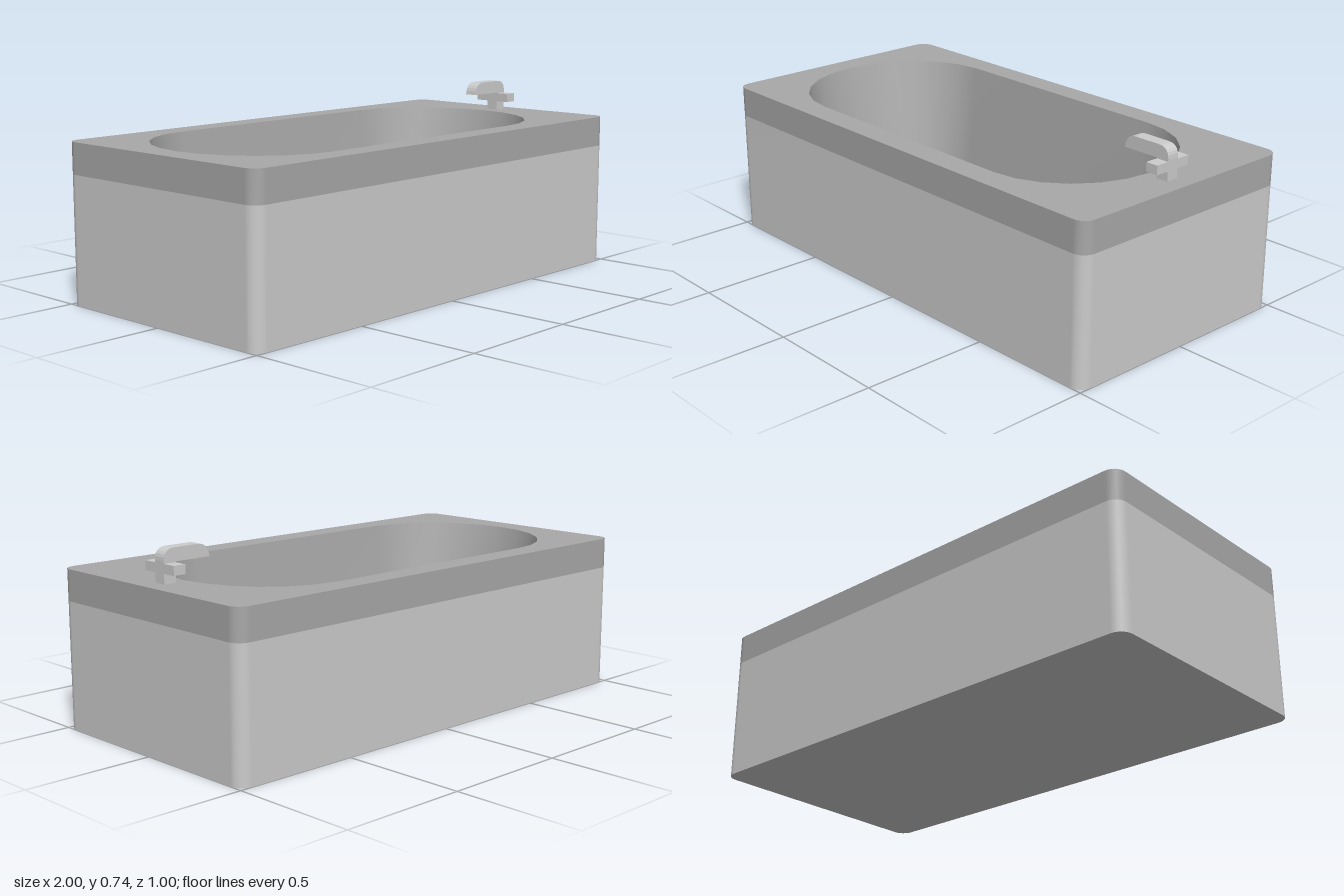
import * as THREE from 'three';

const shell = new THREE.MeshStandardMaterial({ color: 0xcbcfcd });
const stone = new THREE.MeshStandardMaterial({ color: 0xa8a8a8 });
const drainGrey = new THREE.MeshStandardMaterial({ color: 0x7f8e8e });

// Closed outline with elliptical corners, counter-clockwise seen from above
function outline(x0, x1, hz, rx, rz, n) {
  const pts = [];
  const corners = [[x1 - rx, hz - rz], [x0 + rx, hz - rz], [x0 + rx, rz - hz], [x1 - rx, rz - hz]];
  corners.forEach(([cx, cy], q) => {
    for (let i = 0; i <= n; i++) {
      const a = (q + i / n) * Math.PI / 2;
      const p = new THREE.Vector2(cx + rx * Math.cos(a), cy + rz * Math.sin(a));
      if (!pts.some(o => o.distanceTo(p) < 1e-5)) pts.push(p);
    }
  });
  return pts;
}

// Smooth wall joining outline a at height ya to outline b at height yb
function wall(a, ya, b, yb) {
  const pos = [], idx = [], n = a.length;
  for (let i = 0; i < n; i++) {
    pos.push(a[i].x, ya, -a[i].y, b[i].x, yb, -b[i].y);
    const p = 2 * i, q = 2 * ((i + 1) % n);
    idx.push(p, q, q + 1, p, q + 1, p + 1);
  }
  const g = new THREE.BufferGeometry();
  g.setAttribute('position', new THREE.Float32BufferAttribute(pos, 3));
  g.setIndex(idx);
  g.computeVertexNormals();
  return g;
}

// Flat horizontal face, facing up or down, with an optional hole
function plate(pts, y, hole, up = true) {
  const s = new THREE.Shape(pts);
  if (hole) s.holes.push(new THREE.Path(hole));
  return new THREE.ShapeGeometry(s).rotateX(up ? -Math.PI / 2 : Math.PI / 2).translate(0, y, 0);
}

export function createModel() {
  const model = new THREE.Group();
  model.name = 'bathtub';
  const add = (name, geometry, material, parent = model) => {
    const m = new THREE.Mesh(geometry, material);
    m.name = name;
    parent.add(m);
    return m;
  };

  const topY = 0.61, bandY = 0.49, floorY = 0.1;
  const outer = outline(-1, 1, 0.5, 0.05, 0.05, 6);
  const mouth = outline(-0.9, 0.83, 0.4, 0.37, 0.4, 6);
  const floor = outline(-0.77, 0.7, 0.335, 0.25, 0.335, 6);

  // Outer casing
  add('skirt', wall(outer, 0, outer, bandY), shell);
  add('base', plate(outer, 0, null, false), shell);
  add('rimBand', wall(outer, bandY, outer, topY), stone);
  add('rimTop', plate(outer, topY, mouth), stone);

  // Tapered basin
  add('basinWall', wall(mouth, topY, floor, floorY), stone);
  add('basinFloor', plate(floor, floorY), stone);
  const drain = add('drain', new THREE.CylinderGeometry(0.05, 0.05, 0.01, 24), drainGrey);
  drain.position.set(-0.46, floorY + 0.003, 0);

  // Tap: rounded spout on a post with a cross handle
  const tap = new THREE.Group();
  tap.name = 'tap';
  model.add(tap);
  const s = new THREE.Shape();
  s.moveTo(0.88, topY - 0.005);
  s.lineTo(0.93, topY - 0.005);
  s.lineTo(0.93, 0.69);
  s.quadraticCurveTo(0.93, 0.735, 0.885, 0.735);
  s.lineTo(0.78, 0.735);
  s.quadraticCurveTo(0.735, 0.735, 0.73, 0.685);
  s.lineTo(0.88, 0.685);
  const spout = new THREE.ExtrudeGeometry(s, { depth: 0.05, bevelEnabled: false, curveSegments: 6 });
  add('spout', spout.translate(0, 0, -0.025), shell, tap);
  for (const side of [-1, 1]) {
    const handle = add('handle', new THREE.BoxGeometry(0.05, 0.035, 0.055), shell, tap);
    handle.position.set(0.905, 0.665, side * 0.0525);
  }
  return model;
}
